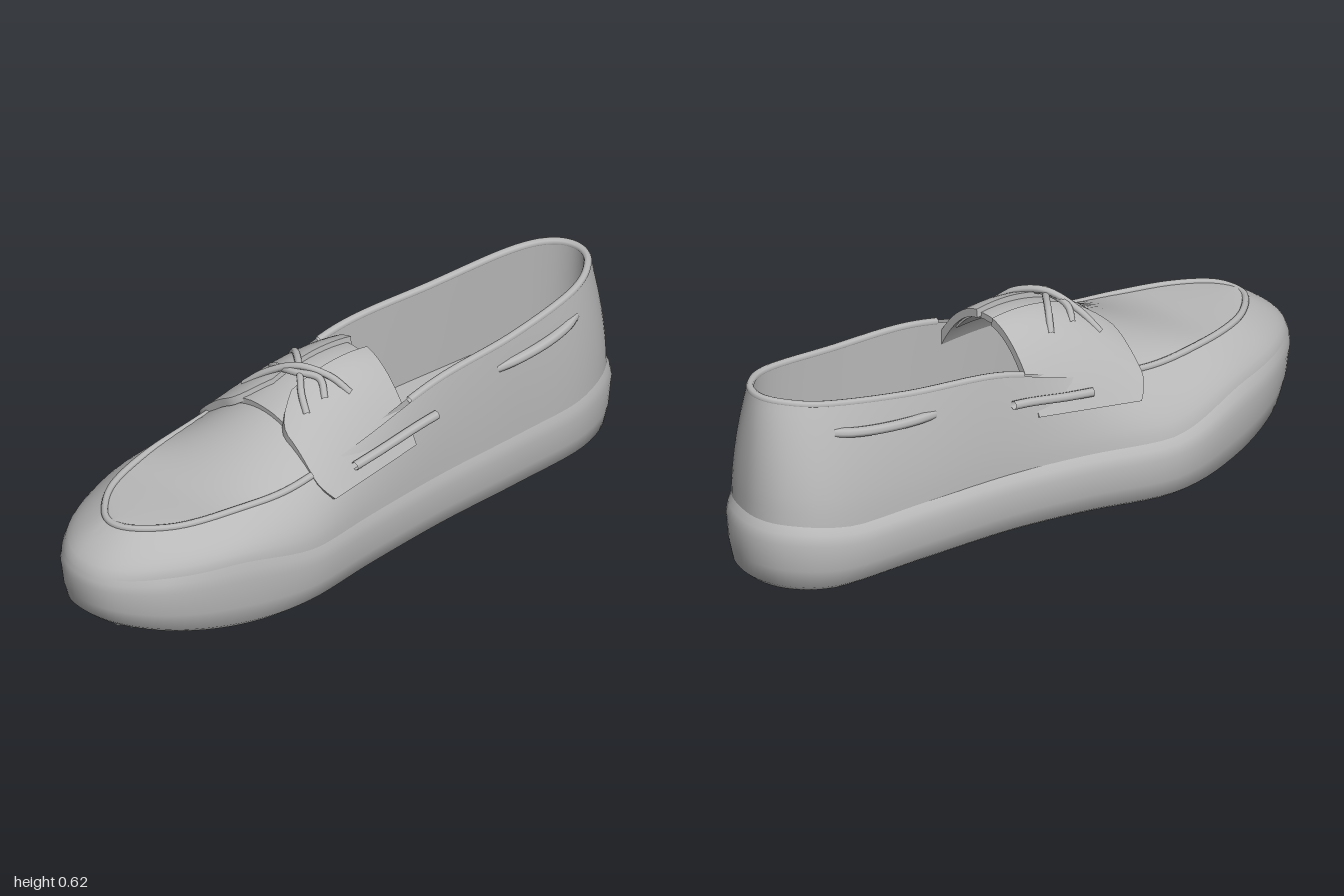
import * as THREE from 'three';
import { toCreasedNormals } from 'three/addons/utils/BufferGeometryUtils.js';

const V = (x, y, z) => new THREE.Vector3(x, y, z);
const loop = pts => new THREE.CatmullRomCurve3(pts.map(p => V(...p)), true, 'catmullrom', 0.5);
const clamp01 = t => Math.min(1, Math.max(0, t));
const smooth = (a, b, t) => THREE.MathUtils.smoothstep(t, a, b);
const N = 120;

// Widest footprint, from the toe round the +x side to the heel and back
const base = loop([
  [0.02, 0, 1], [0.14, 0, 0.96], [0.25, 0, 0.82], [0.327, 0, 0.6], [0.355, 0, 0.36],
  [0.33, 0, 0.1], [0.31, 0, -0.2], [0.307, 0, -0.5], [0.295, 0, -0.78], [0.22, 0, -0.94],
  [0.07, 0, -1], [-0.07, 0, -0.955], [-0.16, 0, -0.81], [-0.19, 0, -0.5], [-0.22, 0, -0.2],
  [-0.275, 0, 0.05], [-0.355, 0, 0.32], [-0.318, 0, 0.58], [-0.225, 0, 0.81], [-0.1, 0, 0.96]]);
// Upper edge: toe seam in front, collar behind
const top = loop([
  [0.02, 0.365, 0.865], [0.1, 0.37, 0.83], [0.175, 0.37, 0.72], [0.225, 0.375, 0.55], [0.26, 0.385, 0.36],
  [0.27, 0.44, 0.1], [0.275, 0.515, -0.2], [0.278, 0.54, -0.5], [0.258, 0.573, -0.76], [0.19, 0.59, -0.885],
  [0.105, 0.593, -0.918], [0.02, 0.59, -0.875], [-0.045, 0.573, -0.76], [-0.102, 0.54, -0.5], [-0.15, 0.515, -0.2],
  [-0.18, 0.44, 0.05], [-0.2, 0.385, 0.32], [-0.18, 0.375, 0.55], [-0.13, 0.37, 0.73], [-0.05, 0.367, 0.835]]);

const wrap = u => ((u % 1) + 1) % 1;
const outward = (curve, u) => {
  const t = curve.getPoint(wrap(u + 0.004)).sub(curve.getPoint(wrap(u - 0.004)));
  return V(-t.z, 0, t.x).normalize();
};
const inset = (curve, u, d) => curve.getPoint(wrap(u)).addScaledVector(outward(curve, u), -d);
const ring = f => Array.from({ length: N }, (_, i) => f(i / N));

// Skin closed rings of points; caps are strips across the ring
function loft(rings, capStart, capEnd, crease = 0.7) {
  const pos = [], idx = [], n = rings[0].length;
  rings.forEach(r => r.forEach(p => pos.push(p.x, p.y, p.z)));
  for (let k = 0; k < rings.length - 1; k++) for (let i = 0; i < n; i++) {
    const j = (i + 1) % n, a = k * n + i, b = k * n + j, c = b + n, d = a + n;
    idx.push(a, b, c, a, c, d);
  }
  const cap = (k, flip) => {
    for (let i = 0; i < n / 2 - 1; i++) {
      const [a, b, c, d] = [i, i + 1, n - 2 - i, n - 1 - i].map(q => q + k * n);
      idx.push(...(flip ? [a, c, b, a, d, c] : [a, b, c, a, c, d]));
    }
  };
  if (capStart) cap(0, true);
  if (capEnd) cap(rings.length - 1, false);
  const g = new THREE.BufferGeometry();
  g.setAttribute('position', new THREE.Float32BufferAttribute(pos, 3));
  g.setIndex(idx);
  return toCreasedNormals(g, crease);
}

// Thick sheet: f(u, v, h) with u front to back, v left to right, h height over the surface
function sheet(f, nu, nv, thick) {
  const rings = [];
  for (let k = 0; k <= nu; k++) {
    const r = [];
    for (let j = 0; j <= nv; j++) r.push(f(k / nu, j / nv, 0));
    for (let j = nv; j >= 0; j--) r.push(f(k / nu, j / nv, -thick));
    rings.push(r);
  }
  return loft(rings, true, true);
}

const soleBottom = z => 0.008 + 0.1 * clamp01((z - 0.4) / 0.6) ** 2 + 0.012 * clamp01((-z - 0.8) / 0.2);
const soleTop = z => 0.205 + 0.055 * smooth(0.3, 0.65, z) + 0.03 * smooth(0.7, 0.95, -z);
const soleTaper = p => 0.026 - 0.016 * Math.max(smooth(0.6, 0.95, p.z), smooth(0.1, 0.3, p.x));
const floor = z => 0.2 - 0.06 * z;

// Side wall of the upper: t = 0 at the sole, 1 at the collar; fuller on the +x side
function wall(u, t, out = 0) {
  const edge = base.getPoint(wrap(u));
  const a = inset(base, u, soleTaper(edge)), b = top.getPoint(wrap(u));
  a.y = soleTop(a.z);
  const p = a.clone().lerp(b, Math.pow(t, 1.4 + 0.4 * smooth(0.1, 0.3, edge.x)));
  p.y = a.y + (b.y - a.y) * Math.pow(t, 0.92);
  return p.addScaledVector(outward(base, u), out);
}

// Arch over the instep that carries the tongue and the lace flaps
function arch(s, z, h = 0) {
  const low = 0.35 - 0.1 * z, high = 0.608 - 1.1 * z * z;
  return V(0.048 - 0.08 * z + s * (0.26 + 0.125 * z + h * 0.8),
    low + (high - low) * (1 - Math.abs(s) ** 2.2) + h * (1 - 0.6 * Math.abs(s)), z);
}

export function createModel() {
  const shoe = new THREE.Group();
  shoe.name = 'shoe';
  const grey = new THREE.MeshStandardMaterial({ color: 0xb8b8b8, side: THREE.DoubleSide });
  grey.name = 'plain grey';
  const add = (name, geo) => {
    const m = new THREE.Mesh(geo, grey);
    m.name = name;
    shoe.add(m);
    return m;
  };
  const cord = (name, pts, r) =>
    add(name, new THREE.TubeGeometry(new THREE.CatmullRomCurve3(pts), pts.length * 5, r, 8));
  const run = (a, b, n, f) => Array.from({ length: n + 1 }, (_, i) => f(a + (b - a) * i / n));

  // Sole: [inset, share of height], drawn in a little at its upper edge
  add('sole', loft([[0.04, 0], [0.02, 0.08], [0.008, 0.35], [0, 0.75], [0.4, 0.9], [1, 1]]
    .map(([d, t]) => ring(u => {
      const p = inset(base, u, t > 0.8 ? d * soleTaper(base.getPoint(u)) : d), b = soleBottom(p.z);
      p.y = b + (soleTop(p.z) - b) * t;
      return p;
    })), true, false));

  // Tread lugs under the forefoot and heel
  const lug = new THREE.BoxGeometry(1, 1, 1);
  for (let u = 0.055; u < 0.46; u += 0.0135) {
    const r = inset(base, u, 0.055), l = inset(base, 1 - u, 0.055), z = (r.z + l.z) / 2;
    if (z < -0.3 && z > -0.5) continue;
    const slope = (soleBottom(z + 0.02) - soleBottom(z - 0.02)) / 0.04;
    for (let c = 0; c < 4; c++) {
      const m = add('treadLug', lug), w = (r.x - l.x) / 4;
      m.position.set(l.x + w * (c + 0.5), soleBottom(z) - 0.001, z);
      m.scale.set(w * 0.85, 0.012, 0.035);
      m.rotation.set(-Math.atan(slope), 0.2, 0);
    }
  }

  // Upper wall, lining and insole
  const steps = [0, 0.1, 0.22, 0.36, 0.5, 0.65, 0.8, 0.92, 1];
  add('upper', loft(steps.map(t => ring(u => wall(u, t))), false, false));
  add('liningAndInsole', loft([0, 0.3, 0.7, 1].map(t => ring(u => {
    const p = inset(top, u, 0.02), q = inset(base, u, 0.075), y = p.y;
    p.lerp(V(q.x, y, q.z), t * 0.3);
    p.y = THREE.MathUtils.lerp(y, floor(p.z), t);
    return p;
  })), false, true));
  cord('collarBinding', run(0.283, 0.717, 40, u => inset(top, u, 0.01)), 0.012);

  // Toe panel rising to the instep, with its raised seam
  add('toePanel', sheet((k, v, h) => {
    const u = 0.005 + 0.225 * k, L = top.getPoint(1 - u), R = top.getPoint(u);
    const p = L.lerp(R, v), s = v * 2 - 1;
    const crown = 0.374 + 0.165 * clamp01((0.62 - p.z) / 0.42) ** 1.4;
    p.y += Math.max(0, crown - p.y) * (1 - s * s) + h;
    return p;
  }, 24, 16, 0.015));
  cord('toeSeam', run(-0.215, 0.215, 36, u => inset(top, u, 0.004)), 0.011);

  // Tongue and the two lace flaps
  add('tongue', sheet((k, v, h) => arch((v - 0.5) * 1.3, 0.27 - 0.34 * k, h - 0.012), 12, 14, 0.02));
  for (const side of [-1, 1]) {
    add(side > 0 ? 'leftFlap' : 'rightFlap', sheet((k, v, h) => {
      const s = side > 0 ? 0.14 + 0.86 * v : -1 + 0.86 * v, a = Math.abs(s);
      const front = 0.29 - 0.09 * clamp01((0.45 - a) / 0.3) ** 2 - 0.04 * clamp01((a - 0.8) / 0.2) ** 2;
      return arch(s, front + (-0.085 - front) * k, h + 0.006);
    }, 12, 14, 0.03));

    // Side laces threaded along the collar
    const at = u => side > 0 ? u : 1 - u;
    cord('sideLace', run(0.24, 0.295, 6, u => wall(at(u), 0.82 - 2 * (u - 0.24), 0.016)), 0.014);
    cord('collarLace', run(0.338, 0.398, 6, u =>
      wall(at(u), 0.76, 0.008 - 0.02 * Math.abs((u - 0.368) / 0.03) ** 2)), 0.016);
  }

  // Crossed laces with loose ends
  const lace = pts => cord('lace', pts.map(([s, z, h]) => arch(s, z, h)), 0.011);
  lace([[-0.5, 0.05, 0], [-0.3, 0.08, 0.012], [0, 0.135, 0.008], [0.25, 0.19, 0.012], [0.42, 0.21, 0]]);
  lace([[-0.5, 0.22, 0], [-0.3, 0.19, 0.012], [0, 0.14, 0.022], [0.3, 0.09, 0.012], [0.5, 0.06, 0]]);
  lace([[-0.42, 0.14, 0], [-0.25, 0.16, 0.012], [0, 0.155, 0.012], [0.25, 0.12, 0.012], [0.42, 0.14, 0]]);
  return shoe;
}
